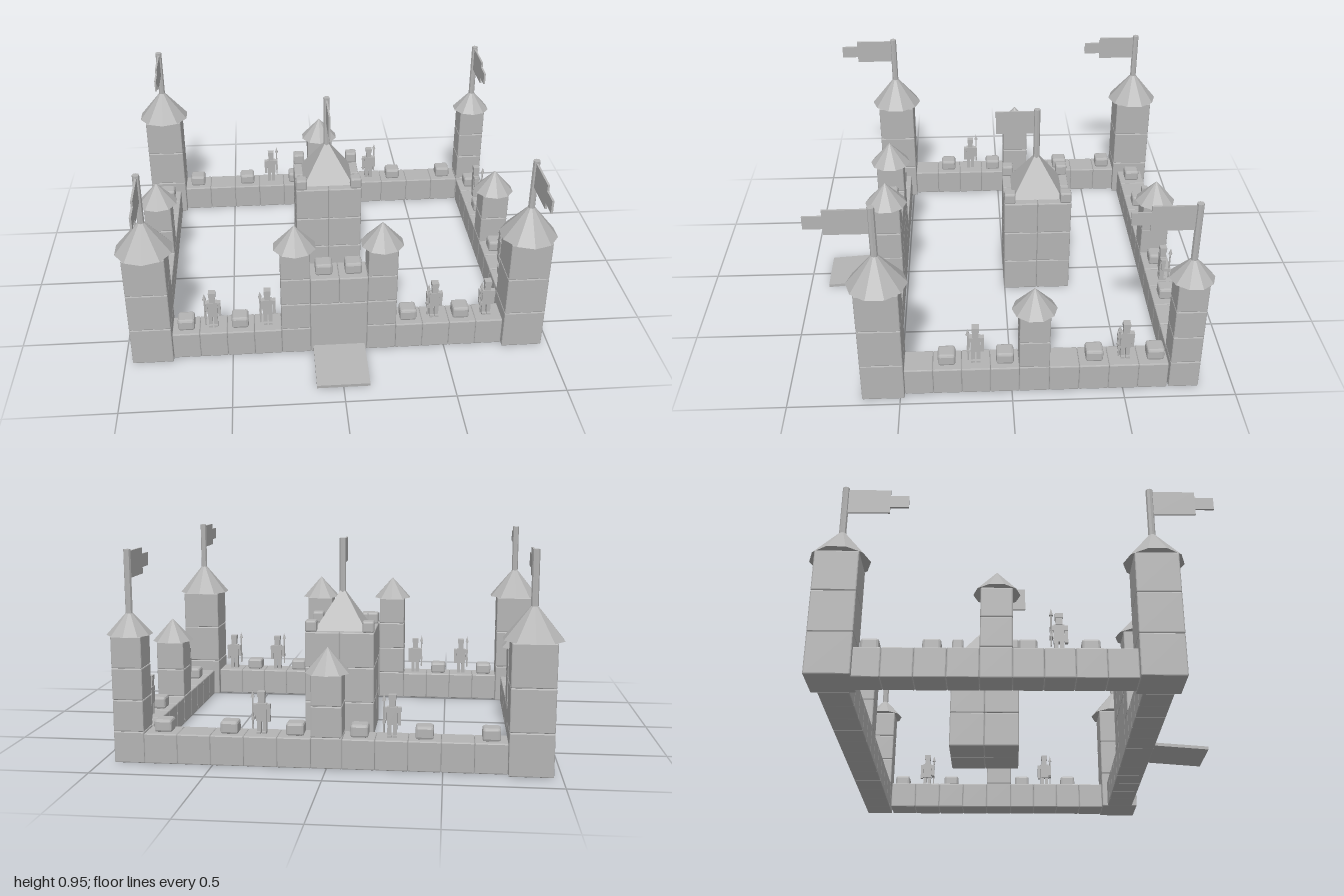
import * as THREE from 'three';
import { RoundedBoxGeometry } from 'three/addons/geometries/RoundedBoxGeometry.js';

const stone = new THREE.MeshStandardMaterial({ color: 0xb4b4b4, flatShading: true });
stone.name = 'grey stone';

function add(parent, name, geometry, x, y, z) {
  const mesh = new THREE.Mesh(geometry, stone);
  mesh.name = name;
  mesh.position.set(x, y, z);
  parent.add(mesh);
  return mesh;
}

// Box placed by the centre of its base
const box = (p, name, w, h, d, x, y, z) =>
  add(p, name, new THREE.BoxGeometry(w, h, d), x, y + h / 2, z);

// Stone block with chamfered edges, placed by the centre of its base
const block = (p, name, w, h, d, x, y, z, r = 0.005) =>
  add(p, name, new RoundedBoxGeometry(w, h, d, 1, r), x, y + h / 2, z);

const group = (p, name, x = 0, y = 0, z = 0) => {
  const g = new THREE.Group();
  g.name = name;
  g.position.set(x, y, z);
  p.add(g);
  return g;
};

const merlon = (p, x, y, z) => block(p, 'merlon', 0.078, 0.058, 0.078, x, y, z, 0.011);

// Pole with a thin banner that streams towards +z
function flag(p, x, z, bottom, top, tail = true) {
  const g = group(p, 'flag', x, 0, z);
  add(g, 'pole', new THREE.CylinderGeometry(0.016, 0.016, top - bottom, 8), 0, (top + bottom) / 2, 0);
  box(g, 'banner', 0.009, 0.118, 0.19, 0, top - 0.128, 0.105);
  if (tail) box(g, 'bannerTail', 0.009, 0.06, 0.085, 0, top - 0.099, 0.24);
}

// Square tower of stacked blocks under a ten-sided roof
function tower(p, name, x, z, { width, blockHeight, count, roofRadius, roofHeight }) {
  const g = group(p, name, x, 0, z);
  for (let i = 0; i < count; i++) block(g, 'towerBlock', width, blockHeight, width, 0, i * blockHeight, 0);
  add(g, 'roof', new THREE.ConeGeometry(roofRadius, roofHeight, 10), 0, count * blockHeight + roofHeight / 2, 0);
}

// Row of wall blocks between two points on one axis
function wall(p, name, axis, from, to, fixed, count) {
  const g = group(p, name);
  const step = (to - from) / count;
  for (let i = 0; i < count; i++) {
    const c = from + step * (i + 0.5);
    if (axis === 'x') block(g, 'wallBlock', step, 0.135, 0.135, c, 0, fixed);
    else block(g, 'wallBlock', 0.135, 0.135, step, fixed, 0, c);
  }
}

// Guard standing on the wall, facing +z before turning
function guard(p, x, z, turn) {
  const g = group(p, 'guard', x, 0.135, z);
  g.rotation.y = turn;
  for (const s of [-1, 1]) {
    box(g, 'leg', 0.018, 0.055, 0.022, s * 0.012, 0, 0);
    box(g, 'foot', 0.018, 0.01, 0.034, s * 0.012, 0, 0.006);
    box(g, 'shoulder', 0.016, 0.022, 0.024, s * 0.03, 0.108, 0);
  }
  box(g, 'torso', 0.046, 0.078, 0.028, 0, 0.055, 0);
  box(g, 'head', 0.028, 0.034, 0.028, 0, 0.135, 0);
  box(g, 'helmet', 0.033, 0.022, 0.033, 0, 0.165, 0);
  box(g, 'leftArm', 0.013, 0.06, 0.016, 0.031, 0.052, 0);
  box(g, 'rightArm', 0.013, 0.04, 0.016, -0.031, 0.07, 0);
  box(g, 'rightForearm', 0.013, 0.014, 0.035, -0.033, 0.066, 0.018);
  add(g, 'spear', new THREE.CylinderGeometry(0.004, 0.004, 0.15, 6), -0.034, 0.1, 0.03);
  add(g, 'spearTip', new THREE.ConeGeometry(0.01, 0.032, 6), -0.034, 0.182, 0.03);
}

export function createModel() {
  const castle = new THREE.Group();
  castle.name = 'castle';
  const X = 0.87, F = 0.575, B = -0.775, M = -0.1, TOP = 0.133;

  // Tower sizes
  const large = { width: 0.19, blockHeight: 0.191, count: 3, roofRadius: 0.133, roofHeight: 0.16 };
  const gateSize = { width: 0.135, blockHeight: 0.139, count: 4, roofRadius: 0.1, roofHeight: 0.11 };
  const middle = { ...gateSize, blockHeight: 0.138, count: 3 };

  // Corner towers and flags
  tower(castle, 'frontLeftTower', X, F, large);
  tower(castle, 'frontRightTower', -X, F, large);
  tower(castle, 'backRightTower', -X, B, large);
  tower(castle, 'backLeftTower', X, B, { ...gateSize, blockHeight: 0.141 });
  flag(castle, X, F, 0.7, 0.952);
  flag(castle, -X, F, 0.7, 0.952);
  flag(castle, -X, B, 0.7, 0.952);
  flag(castle, X, B, 0.64, 0.935);

  // Towers midway along the walls
  for (const s of [-1, 1]) tower(castle, 'sideTower', s * X, M, middle);
  tower(castle, 'backTower', 0, B, middle);

  // Walls
  for (const s of [-1, 1]) {
    wall(castle, 'sideWallFront', 'z', -0.0325, 0.48, s * X, 4);
    wall(castle, 'sideWallBack', 'z', -0.7, -0.1675, s * X, 4);
  }
  wall(castle, 'frontWallRight', 'x', -0.775, -0.268, F, 4);
  wall(castle, 'frontWallLeft', 'x', 0.268, 0.775, F, 4);
  wall(castle, 'backWallRight', 'x', -0.775, -0.0675, B, 5);
  wall(castle, 'backWallLeft', 'x', 0.0675, 0.8025, B, 5);

  // Merlons
  for (const x of [-0.71, -0.46, 0.33, 0.58]) merlon(castle, x, TOP, F);
  for (const x of [-0.705, -0.42, -0.14, 0.14, 0.43, 0.725]) merlon(castle, x, TOP, B);
  for (const z of [-0.62, -0.365, 0.03, 0.29]) merlon(castle, -X, TOP, z);
  for (const z of [-0.645, -0.37, 0.03, 0.29]) merlon(castle, X, TOP, z);

  // Guards look outwards
  for (const x of [-0.585, -0.33, 0.455, 0.705]) guard(castle, x, F, 0);
  for (const x of [-0.28, 0.29]) guard(castle, x, B, Math.PI);
  for (const z of [0.16, -0.51]) guard(castle, X, z, Math.PI / 2);
  guard(castle, -X, 0.16, -Math.PI / 2);

  // Gatehouse with lintel blocks and lowered bridge
  const gate = group(castle, 'gatehouse');
  for (const s of [-1, 1]) {
    tower(gate, 'gateTower', s * 0.2, F, gateSize);
    block(gate, 'lintelBlock', 0.132, 0.138, 0.135, s * 0.066, 0.275, F);
    merlon(gate, s * 0.068, 0.412, F);
  }
  block(gate, 'gate', 0.264, 0.275, 0.135, 0, 0, F);
  const bridge = add(gate, 'drawbridge', new THREE.BoxGeometry(0.242, 0.015, 0.265), 0, 0.0185, 0.7725);
  bridge.rotation.x = 0.075;

  // Keep of two by two blocks, corner merlons and pyramid roof
  const keep = group(castle, 'keep', 0, 0, -0.163);
  for (const sx of [-1, 1]) for (const sz of [-1, 1]) {
    for (let i = 0; i < 3; i++) block(keep, 'keepBlock', 0.165, 0.169, 0.165, sx * 0.0825, i * 0.169, sz * 0.0825);
    block(keep, 'cornerMerlon', 0.055, 0.056, 0.055, sx * 0.137, 0.506, sz * 0.137, 0.008);
  }
  const roof = add(keep, 'keepRoof', new THREE.ConeGeometry(0.125 * Math.SQRT2, 0.2, 4), 0, 0.606, 0);
  roof.rotation.y = Math.PI / 4;
  flag(keep, 0, 0, 0.66, 0.942, false);

  return castle;
}
